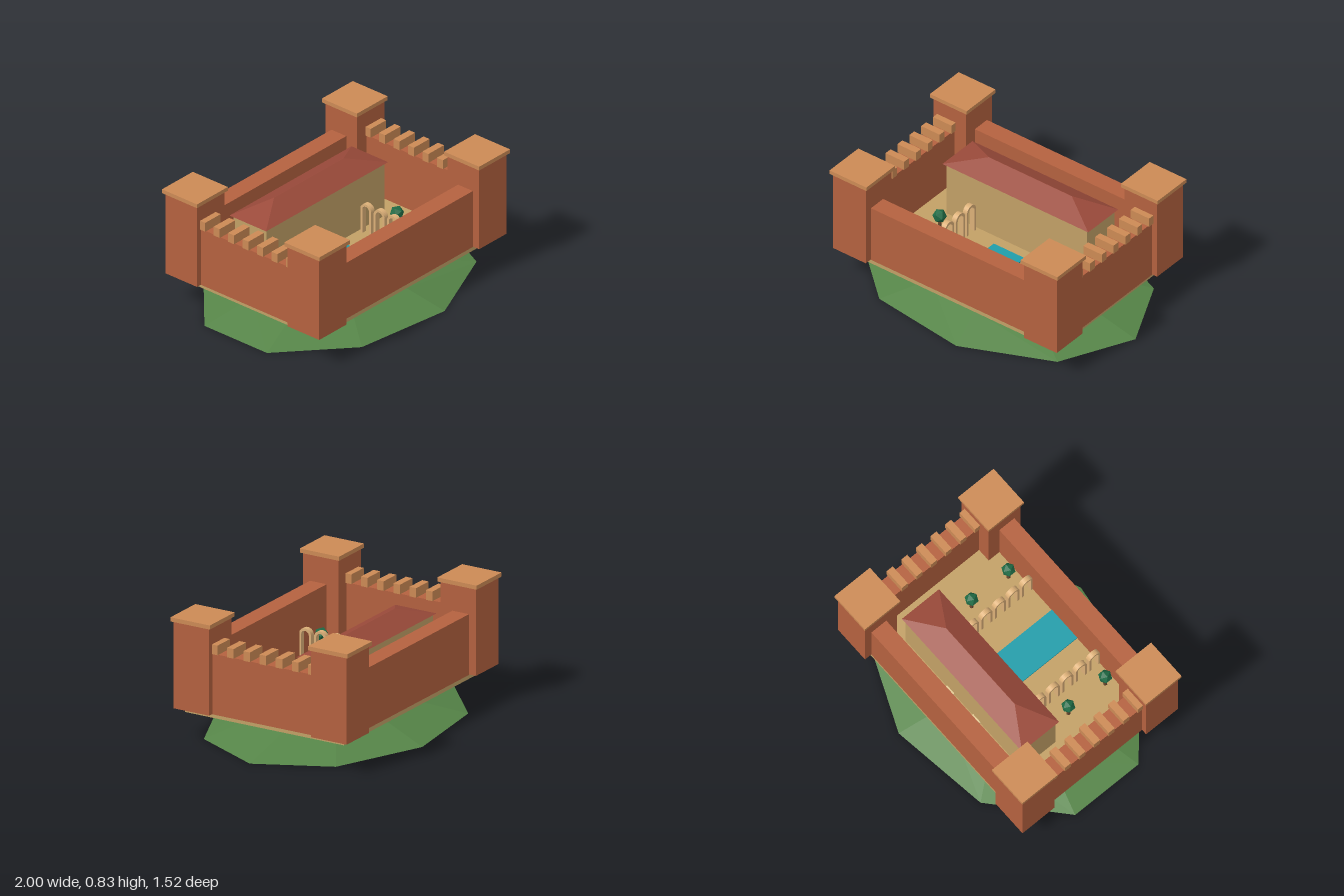
import * as THREE from 'three';

const mat = (color) => new THREE.MeshStandardMaterial({ color, flatShading: true });
const brick = mat(0xb4613f), capstone = mat(0xcc8a55), sand = mat(0xc2a066), pale = mat(0xe4cb96);
const roofRed = mat(0x9a4a3a), grass = mat(0x568548), water = mat(0x1f9daa);
const leaf = mat(0x1f6b45), bark = mat(0x6b4a2f), archStone = mat(0xdcb078);

// Builds a solid from stacked loops, bottom to top, each anticlockwise seen from above
function loft(loops) {
  const n = loops[0].length, idx = [];
  for (let l = 0; l < loops.length - 1; l++)
    for (let i = 0; i < n; i++) {
      const a = l * n + i, b = l * n + (i + 1) % n;
      idx.push(a, b, a + n, b, b + n, a + n);
    }
  const t = (loops.length - 1) * n;
  for (let i = 1; i < n - 1; i++) idx.push(0, i + 1, i, t, t + i, t + i + 1);
  const g = new THREE.BufferGeometry();
  g.setAttribute('position', new THREE.Float32BufferAttribute(loops.flat(2), 3));
  g.setIndex(idx);
  const flat = g.toNonIndexed();
  flat.computeVertexNormals();
  return flat;
}

export function createModel() {
  const root = new THREE.Group();
  const castle = new THREE.Group();
  castle.name = 'fortress';
  castle.position.x = -0.032;
  root.add(castle);

  const add = (name, geo, material, x, y, z) => {
    const m = new THREE.Mesh(geo, material);
    m.name = name;
    m.position.set(x, y, z);
    castle.add(m);
  };
  // Box given by its footprint centre and its bottom and top heights
  const box = (name, material, w, d, y0, y1, x, z) =>
    add(name, new THREE.BoxGeometry(w, y1 - y0, d), material, x, (y0 + y1) / 2, z);

  // Nine-sided hill with a slightly uneven middle ring
  const wobble = [0.61, 0.6, 0.58, 0.63, 0.64, 0.62, 0.6, 0.65, 0.61];
  const ring = (f, y) => wobble.map((w, i) => {
    const a = -i * Math.PI * 2 / 9, r = f ?? w;
    return [1.032 * r * Math.cos(a), y, 0.773 * r * Math.sin(a)];
  });
  add('hill', loft([ring(1, 0), ring(null, 0.094), ring(0.02, 0.185)]), grass, 0, 0, 0);

  // Courtyard floor and reflecting pool
  box('courtyardFloor', sand, 1.71, 1.195, 0.183, 0.21, 0, 0);
  box('pool', water, 0.25, 0.485, 0.205, 0.219, 0, 0.23);

  // Walls: plain at front and back, battlements on the sides
  for (const s of [-1, 1]) {
    box(s > 0 ? 'frontWall' : 'backWall', brick, 1.4, 0.125, 0.21, 0.62, 0, s * 0.535);
    box(s > 0 ? 'leftWall' : 'rightWall', brick, 0.13, 0.9, 0.21, 0.62, s * 0.8, 0);
    for (let i = -3; i <= 3; i++)
      box('merlon', capstone, 0.15, 0.05, 0.62, 0.685, s * 0.8, i * 0.122);
    // Corner towers
    for (const t of [-1, 1]) {
      box('tower', brick, 0.266, 0.267, 0.213, 0.802, s * 0.773, t * 0.517);
      box('towerCap', capstone, 0.298, 0.296, 0.802, 0.83, s * 0.773, t * 0.517);
    }
  }

  // Hall with a hipped roof
  box('hallBody', sand, 1.14, 0.28, 0.21, 0.602, 0, -0.23);
  const rect = (x, z, y) => [[-x, y, -z], [-x, y, z], [x, y, z], [x, y, -z]];
  add('hallRoof', loft([rect(0.59, 0.155, 0.6), rect(0.337, 0.001, 0.68)]), roofRed, 0, 0, -0.23);

  // Flat ring paving showing behind the hall
  const disc = new THREE.Shape().absarc(0, 0, 0.172, 0, Math.PI * 2);
  disc.holes.push(new THREE.Path().absarc(0, 0, 0.1, 0, Math.PI * 2, true));
  const paving = new THREE.ExtrudeGeometry(disc, { depth: 0.02, bevelEnabled: false, curveSegments: 6 });
  add('ringPaving', paving.rotateX(-Math.PI / 2), pale, 0, 0.21, -0.345);

  // Two arcades of small round-headed arches along the pool
  const spring = 0.172, outer = 0.046, inner = 0.029;
  const profile = new THREE.Shape();
  profile.moveTo(outer, 0).lineTo(outer, spring);
  profile.absarc(0, spring, outer, 0, Math.PI);
  profile.lineTo(-outer, 0).lineTo(-inner, 0).lineTo(-inner, spring);
  profile.absarc(0, spring, inner, Math.PI, 0, true);
  profile.lineTo(inner, 0);
  const archGeo = new THREE.ExtrudeGeometry(profile, { depth: 0.035, bevelEnabled: false, curveSegments: 8 })
    .translate(0, 0, -0.0175).rotateY(Math.PI / 2);
  for (const s of [-1, 1])
    for (let i = 0; i < 5; i++)
      add('arch', archGeo, archStone, s * 0.33, 0.21, -0.022 + i * 0.113);

  // Four small garden trees
  const crown = new THREE.IcosahedronGeometry(0.047, 0);
  const trunk = new THREE.CylinderGeometry(0.01, 0.014, 0.12, 6);
  for (const x of [-0.475, 0.475])
    for (const z of [0.1, 0.408]) {
      add('treeTrunk', trunk, bark, x, 0.27, z);
      add('treeCrown', crown, leaf, x, 0.345, z);
    }
  return root;
}
